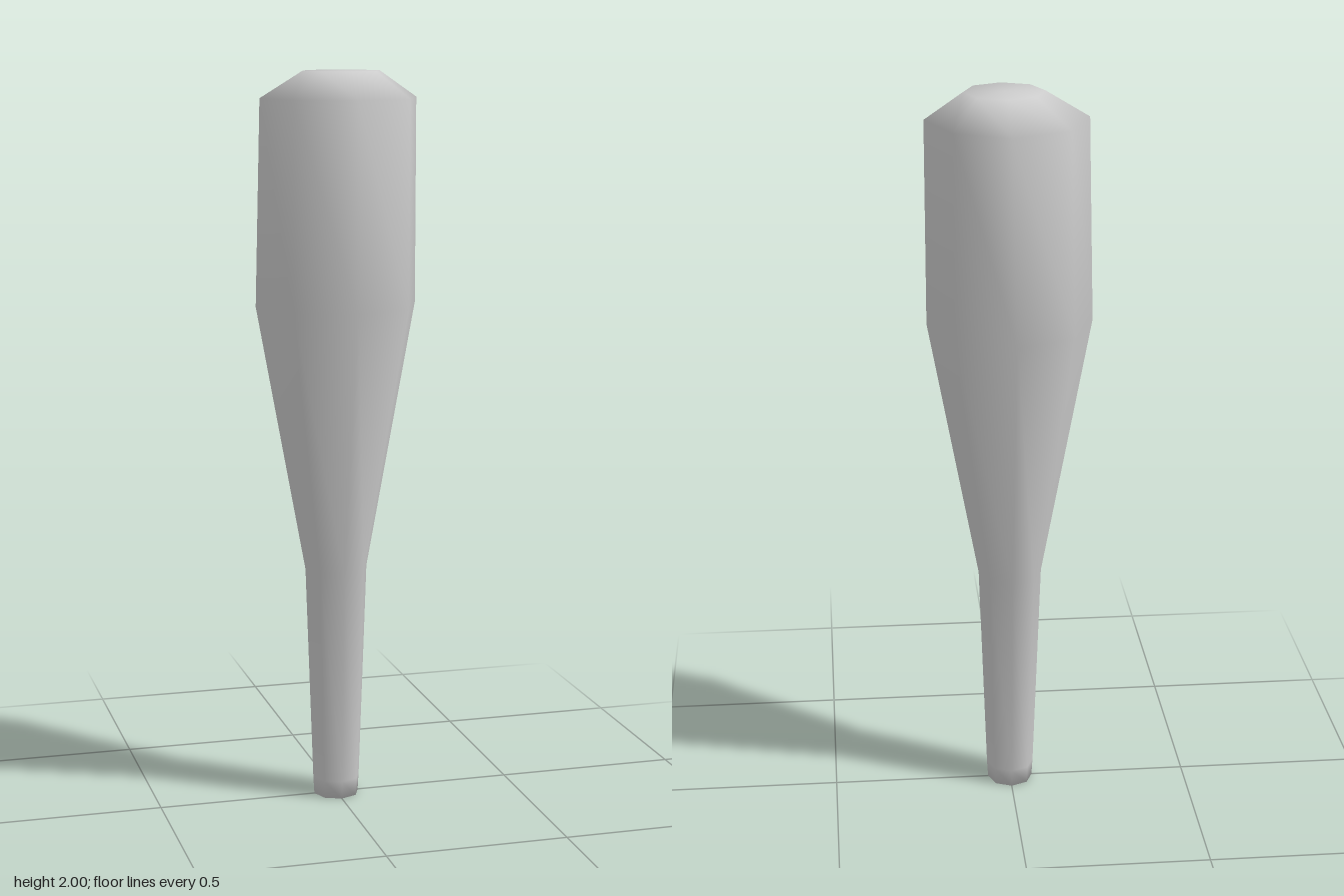
import * as THREE from 'three';
import { mergeVertices } from 'three/addons/utils/BufferGeometryUtils.js';

const SIDES = 8;
const SHOULDER = 1.93;

// Radius and height, from the butt of the handle to the rounded head
const PROFILE = [
  [0, 0], [0.063, 0], [0.066, 0.05], [0.087, 0.65],
  [0.222, 1.38], [0.222, SHOULDER], [0.106, 2], [0, 2],
].map(([r, y]) => new THREE.Vector2(r, y));

function clubGeometry() {
  const lathe = new THREE.LatheGeometry(PROFILE, SIDES);
  lathe.deleteAttribute('normal');
  lathe.deleteAttribute('uv');
  const geometry = mergeVertices(lathe, 1e-4);

  // The head leans slightly: the tip, and the back right of the shoulder, move inward
  const pos = geometry.attributes.position;
  for (let i = 0; i < pos.count; i++) {
    const x = pos.getX(i), y = pos.getY(i), z = pos.getZ(i);
    const tip = y > SHOULDER + 0.01;
    const backRight = Math.abs(y - SHOULDER) < 0.01 && x < 0.01 && z < 0.01;
    if (tip || backRight) pos.setX(i, x + 0.014);
  }
  geometry.computeVertexNormals();
  return geometry;
}

export function createModel() {
  const group = new THREE.Group();
  group.name = 'club';
  const material = new THREE.MeshStandardMaterial({ color: 0xcccccc });
  const body = new THREE.Mesh(clubGeometry(), material);
  body.name = 'clubBody';
  group.add(body);
  return group;
}
